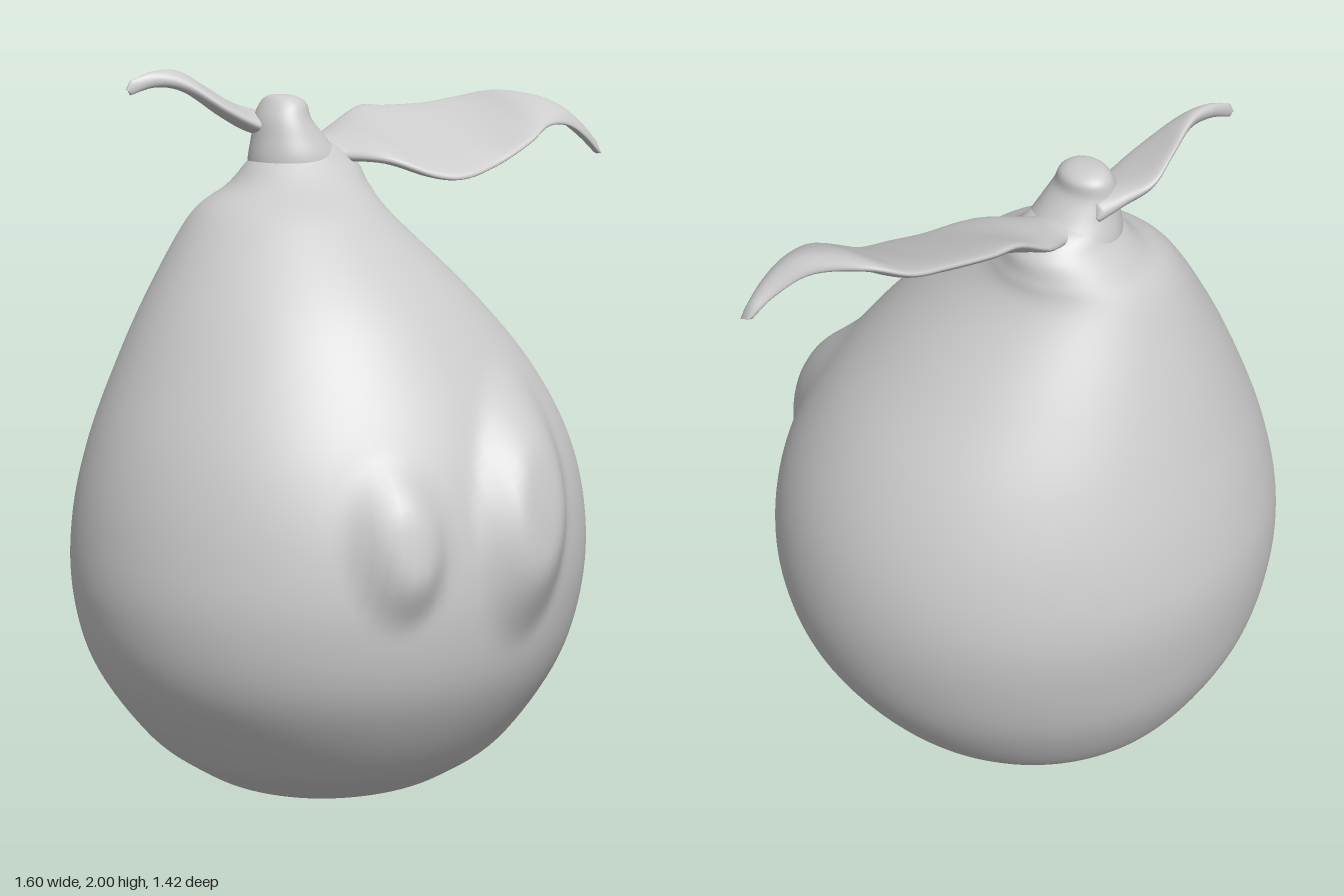
import * as THREE from 'three';

const material = new THREE.MeshStandardMaterial({ color: 0xcccccc, side: THREE.DoubleSide });

// Skins a list of closed rings (arrays of Vector3) with a smooth surface.
function loft(name, rings) {
  const n = rings[0].length, index = [];
  for (let i = 0; i < rings.length - 1; i++) {
    for (let j = 0; j < n; j++) {
      const a = i * n + j, b = i * n + (j + 1) % n;
      index.push(a, b, b + n, a, b + n, a + n);
    }
  }
  const geometry = new THREE.BufferGeometry().setFromPoints(rings.flat());
  geometry.setIndex(index);
  geometry.computeVertexNormals();
  const mesh = new THREE.Mesh(geometry, material);
  mesh.name = name;
  return mesh;
}

const spline = points => new THREE.CatmullRomCurve3(points, false, 'catmullrom', 0.5);

// Upright rounded form; each row is [y, left x, right x, front z, back z].
function roundForm(name, rows, steps, sides, deform = p => p) {
  const leftFront = spline(rows.map(r => new THREE.Vector3(r[1], r[0], r[3])));
  const rightBack = spline(rows.map(r => new THREE.Vector3(r[2], r[0], r[4])));
  const rings = [];
  for (let i = 0; i <= steps; i++) {
    const p = leftFront.getPoint(i / steps), q = rightBack.getPoint(i / steps);
    const ring = [];
    for (let j = 0; j < sides; j++) {
      const a = j / sides * Math.PI * 2;
      ring.push(deform(new THREE.Vector3(
        (p.x + q.x) / 2 + (q.x - p.x) / 2 * Math.sin(a),
        p.y,
        (p.z + q.z) / 2 + (p.z - q.z) / 2 * Math.cos(a))));
    }
    rings.push(ring);
  }
  return loft(name, rings);
}

// Soft swellings on the front of the fruit.
const bumps = [
  { x: -0.27, y: 0.83, rx: 0.13, ry: 0.22, height: 0.055, lean: 0 },
  { x: 0.14, y: 0.89, rx: 0.19, ry: 0.36, height: 0.075, lean: 0.15 },
];
function swell(p) {
  if (p.z < 0.2) return p;
  let push = 0;
  for (const b of bumps) {
    const dx = (p.x - b.x - (p.y - b.y) * b.lean) / b.rx, dy = (p.y - b.y) / b.ry;
    push += b.height * (1 - THREE.MathUtils.smoothstep(Math.hypot(dx, dy), 0.35, 1.05));
  }
  p.z += push;
  return p;
}

// Leaf from stations [x, front z, back z, front y, middle y, back y]; dir is its growth along x.
function leaf(name, stations, thickness, dir) {
  const front = spline(stations.map(s => new THREE.Vector3(s[0], s[3], s[1])));
  const back = spline(stations.map(s => new THREE.Vector3(s[0], s[5], s[2])));
  const middle = spline(stations.map(s => new THREE.Vector3(s[0], s[4], (s[1] + s[2]) / 2)));
  const steps = 54, sides = 32, rings = [];
  for (let i = 0; i <= steps; i++) {
    const t = i / steps;
    const f = front.getPoint(t), m = middle.getPoint(t), b = back.getPoint(t);
    const half = i === 0 || i === steps ? 0 : thickness * (1 - 0.45 * t);
    const ring = [];
    for (let j = 0; j < sides; j++) {
      const a = j / sides * Math.PI * 2, s = Math.cos(a);
      // Bend the section through front edge, middle and back edge.
      const p = m.clone().multiplyScalar(1 - s * s)
        .addScaledVector(f, s * (s + 1) / 2)
        .addScaledVector(b, s * (s - 1) / 2);
      p.y -= dir * Math.sin(a) * half;
      ring.push(p);
    }
    // Close both ends.
    if (i === 0) rings.push(ring.map(() => m.clone()));
    rings.push(ring);
    if (i === steps) rings.push(ring.map(() => m.clone()));
  }
  return loft(name, rings);
}

export function createModel() {
  const group = new THREE.Group();
  group.name = 'fruit';

  // Lopsided pear-shaped body
  group.add(roundForm('body', [
    [0, -0.1, -0.1, -0.05, -0.05],
    [0.012, -0.23, 0.03, 0.08, -0.18],
    [0.05, -0.37, 0.17, 0.24, -0.31],
    [0.1, -0.47, 0.27, 0.36, -0.41],
    [0.2, -0.6, 0.41, 0.49, -0.53],
    [0.4, -0.745, 0.55, 0.62, -0.64],
    [0.6, -0.8, 0.62, 0.665, -0.69],
    [0.8, -0.79, 0.635, 0.655, -0.705],
    [1, -0.74, 0.595, 0.6, -0.67],
    [1.2, -0.655, 0.495, 0.495, -0.605],
    [1.4, -0.545, 0.335, 0.35, -0.525],
    [1.6, -0.4, 0.15, 0.14, -0.43],
    [1.68, -0.28, 0.11, 0.02, -0.37],
    [1.74, -0.225, 0.09, -0.05, -0.32],
    [1.79, -0.17, 0.02, -0.1, -0.28],
    [1.81, -0.09, -0.09, -0.2, -0.2],
  ], 110, 140, swell));

  // Stubby stem between the leaves
  group.add(roundForm('stem', [
    [1.68, -0.22, 0.06, -0.06, -0.32],
    [1.75, -0.22, 0.04, -0.06, -0.31],
    [1.81, -0.21, -0.01, -0.08, -0.29],
    [1.86, -0.2, -0.05, -0.1, -0.28],
    [1.9, -0.18, -0.06, -0.12, -0.27],
    [1.92, -0.16, -0.09, -0.15, -0.24],
    [1.925, -0.13, -0.13, -0.2, -0.2],
  ], 30, 48));

  // Broad wavy leaf
  group.add(leaf('largeLeaf', [
    [-0.06, -0.14, -0.25, 1.76, 1.77, 1.77],
    [0.01, -0.1, -0.27, 1.755, 1.775, 1.78],
    [0.1, 0, -0.315, 1.745, 1.79, 1.82],
    [0.2, 0.08, -0.32, 1.705, 1.78, 1.875],
    [0.28, 0.115, -0.31, 1.7, 1.78, 1.875],
    [0.4, 0.105, -0.285, 1.735, 1.8, 1.88],
    [0.5, 0.11, -0.27, 1.79, 1.84, 1.895],
    [0.58, 0.08, -0.2, 1.83, 1.88, 1.91],
    [0.66, 0.06, -0.09, 1.83, 1.87, 1.88],
    [0.73, 0.05, -0.03, 1.795, 1.82, 1.82],
    [0.8, 0.035, 0, 1.74, 1.75, 1.755],
  ], 0.034, 1));

  // Small upturned leaf
  group.add(leaf('smallLeaf', [
    [-0.08, -0.2, -0.29, 1.81, 1.82, 1.82],
    [-0.15, -0.17, -0.32, 1.825, 1.84, 1.86],
    [-0.22, -0.17, -0.345, 1.845, 1.86, 1.895],
    [-0.3, -0.18, -0.325, 1.885, 1.9, 1.94],
    [-0.4, -0.22, -0.29, 1.95, 1.96, 1.98],
    [-0.48, -0.245, -0.28, 1.965, 1.97, 1.975],
    [-0.56, -0.265, -0.275, 1.94, 1.945, 1.945],
  ], 0.034, -1));

  return group;
}
